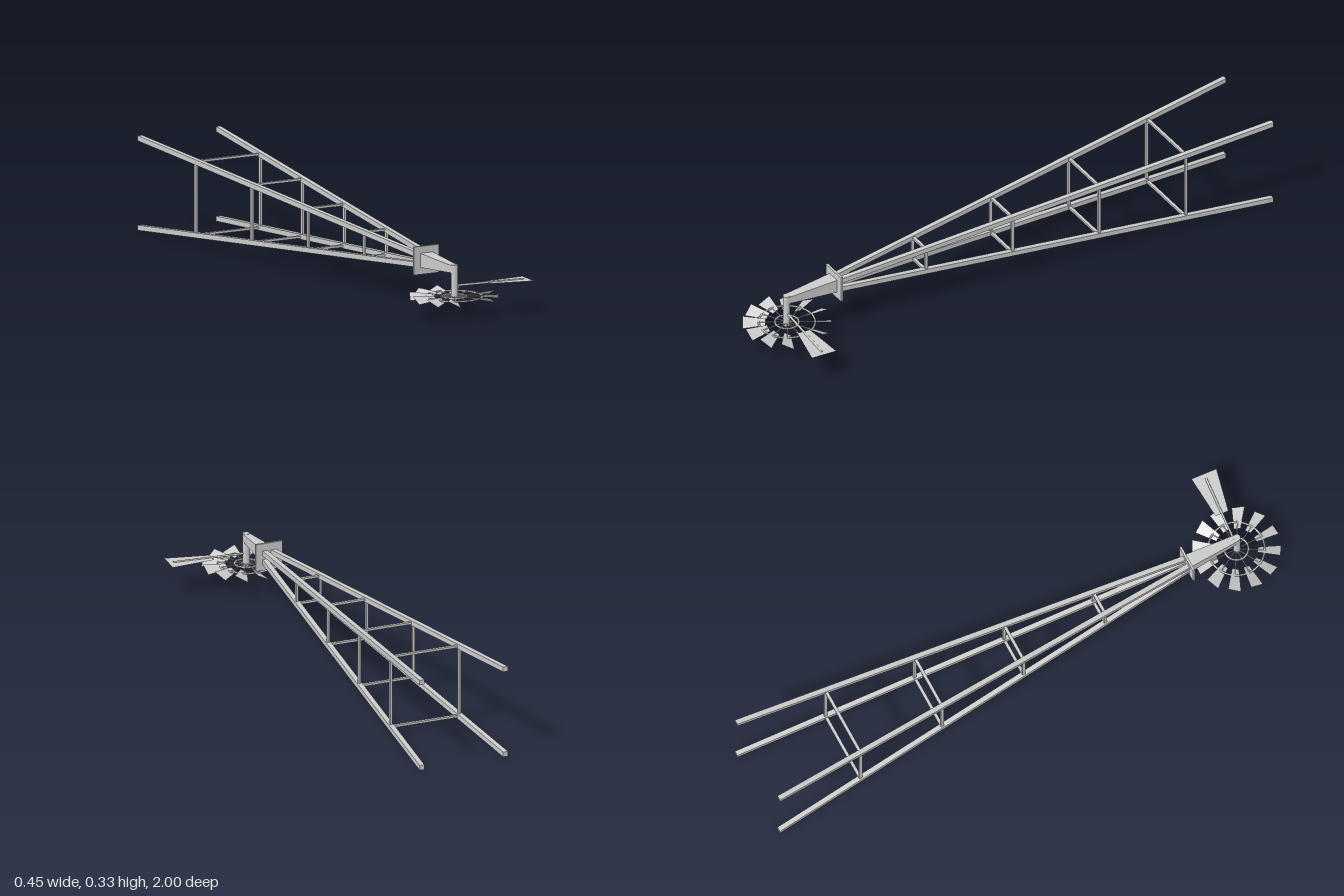
import * as THREE from 'three';

const CX = -0.06, CY = 0.165; // tower axis, running along z
const HUB_Z = 0.85;           // position of the rotor post

const mat = new THREE.MeshStandardMaterial({ color: 0xcccccc, flatShading: true });
const smooth = new THREE.MeshStandardMaterial({ color: 0xcccccc });
const sheet = new THREE.MeshStandardMaterial({ color: 0xcccccc, side: THREE.DoubleSide, flatShading: true });

function add(parent, name, geometry, material = mat) {
  const mesh = new THREE.Mesh(geometry, material);
  mesh.name = name;
  parent.add(mesh);
  return mesh;
}

// Flat trapezoid in the xz plane, widening along +x
function trapezoid(x0, x1, w0, w1) {
  const s = new THREE.Shape();
  s.moveTo(x0, -w0);
  s.lineTo(x1, -w1);
  s.lineTo(x1, w1);
  s.lineTo(x0, w0);
  return new THREE.ShapeGeometry(s).rotateX(-Math.PI / 2);
}

// Distance of a leg's centre from the axis, in x and in y
const spread = z => 0.156 - (z + 1) * 0.0848;

function makeTower() {
  const tower = new THREE.Group();
  tower.name = 'tower';
  tower.position.set(CX, CY, 0);

  // Four square legs, sheared towards the axis
  const z0 = -1, z1 = 0.66;
  for (const sx of [-1, 1]) for (const sy of [-1, 1]) {
    const g = new THREE.BoxGeometry(0.018, 0.018, z1 - z0).translate(0, 0, (z0 + z1) / 2);
    const p = g.attributes.position;
    for (let i = 0; i < p.count; i++) {
      const d = spread(p.getZ(i));
      p.setXY(i, p.getX(i) + sx * d, p.getY(i) + sy * d);
    }
    g.computeVertexNormals();
    add(tower, 'leg', g);
  }

  // Square frames of rungs between the legs
  for (const z of [-0.67, -0.34, -0.01, 0.32]) {
    const d = spread(z);
    for (const s of [-1, 1]) {
      add(tower, 'rung', new THREE.BoxGeometry(2 * d, 0.008, 0.011)).position.set(0, s * d, z);
      add(tower, 'rung', new THREE.BoxGeometry(0.008, 2 * d, 0.011)).position.set(s * d, 0, z);
    }
  }

  // Platform and the tapered cap beyond it
  add(tower, 'platform', new THREE.BoxGeometry(0.098, 0.098, 0.008)).position.set(0, 0.002, 0.66);
  const cap = new THREE.CylinderGeometry(0.0125 * Math.SQRT2, 0.025 * Math.SQRT2, 0.195, 4)
    .rotateY(Math.PI / 4).rotateX(Math.PI / 2);
  add(tower, 'cap', cap).position.set(0, 0.002, 0.7575);
  return tower;
}

function makeRotor() {
  const rotor = new THREE.Group();
  rotor.name = 'rotor';
  rotor.position.set(CX, 0.072, HUB_Z);
  for (const r of [0.041, 0.097])
    add(rotor, 'rotorRing', new THREE.TorusGeometry(r, 0.0035, 6, 36).rotateX(Math.PI / 2), smooth);

  // Twelve pitched blades, each on a thin spoke
  for (let i = 0; i < 12; i++) {
    const arm = new THREE.Group();
    arm.name = 'bladeArm';
    arm.rotation.y = i * Math.PI / 6;
    add(arm, 'spoke', new THREE.CylinderGeometry(0.002, 0.002, 0.09, 6).rotateZ(Math.PI / 2), smooth)
      .position.x = 0.055;
    add(arm, 'blade', trapezoid(0.073, 0.152, 0.013, 0.025), sheet).rotation.x = -0.46;
    rotor.add(arm);
  }
  return rotor;
}

function makeTail() {
  const tail = new THREE.Group();
  tail.name = 'tail';
  tail.position.set(CX, 0.109, HUB_Z);
  tail.rotation.y = -0.08;
  add(tail, 'tailBoom', new THREE.CylinderGeometry(0.004, 0.004, 0.264, 8).rotateZ(Math.PI / 2), smooth)
    .position.x = 0.132;
  add(tail, 'tailVane', trapezoid(0.125, 0.282, 0.024, 0.047), sheet);
  return tail;
}

export function createModel() {
  const model = new THREE.Group();
  model.name = 'windPump';
  model.add(makeTower(), makeRotor(), makeTail());

  // Post carrying the rotor and the tail
  add(model, 'post', new THREE.CylinderGeometry(0.0125, 0.0125, 0.122, 16), smooth)
    .position.set(CX, 0.121, HUB_Z + 0.002);
  return model;
}
